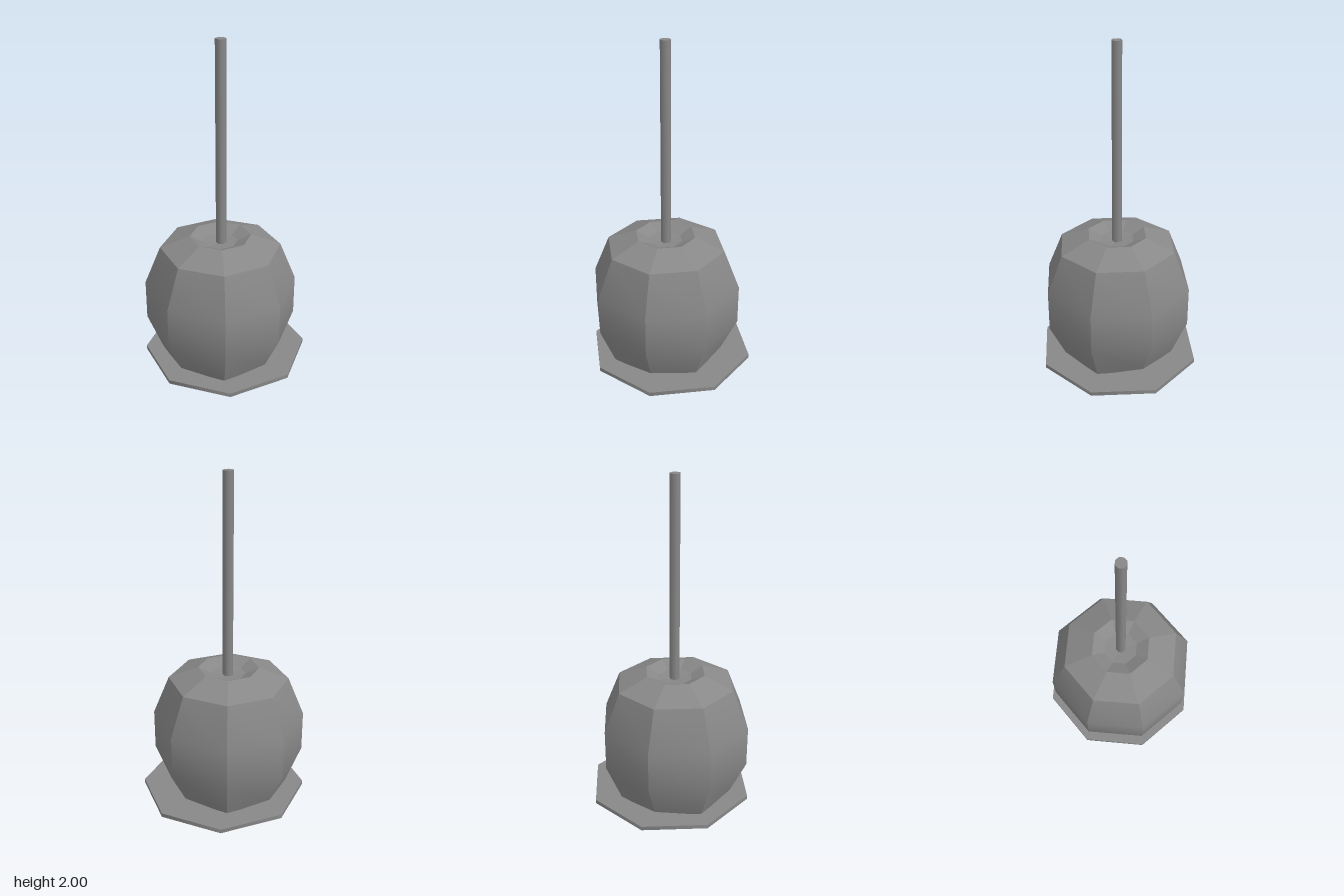
import * as THREE from 'three';
import { toCreasedNormals } from 'three/addons/utils/BufferGeometryUtils.js';

const SIDES = 8;

export function createModel() {
  const model = new THREE.Group();
  const material = new THREE.MeshStandardMaterial({ color: 0x888888 });

  const add = (name, geometry, x, y, z) => {
    const mesh = new THREE.Mesh(geometry, material);
    mesh.name = name;
    mesh.position.set(x, y, z);
    model.add(mesh);
  };
  const lathe = (points) =>
    new THREE.LatheGeometry(points.map(([r, y]) => new THREE.Vector2(r, y)), SIDES);

  // Thin octagonal base, corners on the axes, a touch narrower front to back
  const base = new THREE.CylinderGeometry(0.512, 0.512, 0.025, SIDES);
  base.scale(1, 1, 0.985);
  add('base', base, 0, 0.0125, 0);

  // Apple flank and underside: smooth up and down, sharp between the eight sides
  const flank = lathe([
    [0, 0.06], [0.1, 0.05], [0.18, 0.02], [0.365, 0.047], [0.463, 0.26], [0.463, 0.51], [0.365, 0.75],
  ]);
  // Diagonal corners of the lower rim dip to form the bottom lobes
  const rows = flank.parameters.points.length;
  for (let side = 1; side <= SIDES; side += 2) {
    flank.attributes.position.setY(side * rows + 3, 0.015);
  }
  add('appleFlank', toCreasedNormals(flank, 0.61), -0.035, 0, -0.008);

  // Apple shoulder and dimple: every facet flat
  const crown = lathe([[0.365, 0.75], [0.185, 0.82], [0.105, 0.783], [0, 0.772]]);
  add('appleCrown', toCreasedNormals(crown, 0.02), -0.035, 0, -0.008);

  // Stick standing in the dimple
  add('stick', new THREE.CylinderGeometry(0.031, 0.031, 1.3, SIDES), -0.031, 1.35, -0.006);

  return model;
}
